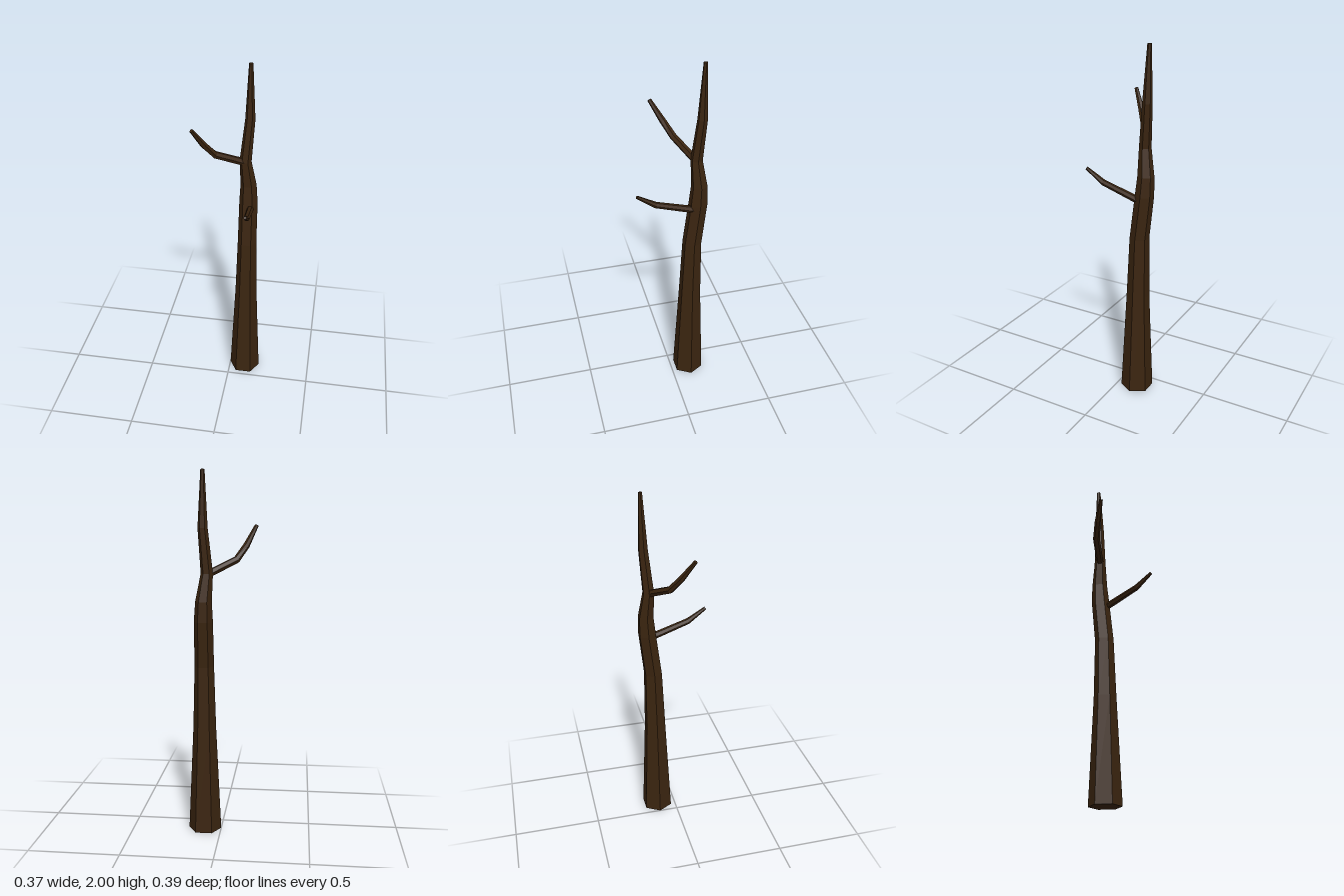
import * as THREE from 'three';

const SIDES = 6;

// Faceted limb through stations [x, y, z, radius]; level = rings stay horizontal
function limb(stations, level) {
  const centres = stations.map(([x, y, z]) => new THREE.Vector3(x, y, z));
  const last = centres.length - 1;
  const rings = centres.map((c, i) => {
    const dir = level
      ? new THREE.Vector3(0, 1, 0)
      : centres[Math.min(i + 1, last)].clone().sub(centres[Math.max(i - 1, 0)]).normalize();
    // Side axis is horizontal, so rings never twist along the limb
    const u = level
      ? new THREE.Vector3(1, 0, 0)
      : new THREE.Vector3(0, 1, 0).cross(dir).normalize();
    const v = dir.clone().cross(u);
    return Array.from({ length: SIDES }, (_, k) => {
      const a = (k / SIDES) * Math.PI * 2;
      return c.clone()
        .addScaledVector(u, Math.cos(a) * stations[i][3])
        .addScaledVector(v, Math.sin(a) * stations[i][3]);
    });
  });

  const points = [];
  for (let k = 0; k < SIDES; k++) {
    const n = (k + 1) % SIDES;
    for (let i = 0; i < last; i++) {
      const a = rings[i][k], b = rings[i][n], c = rings[i + 1][n], d = rings[i + 1][k];
      points.push(a, b, c, a, c, d);
    }
    // End caps
    points.push(centres[0], rings[0][n], rings[0][k]);
    points.push(centres[last], rings[last][k], rings[last][n]);
  }
  const geometry = new THREE.BufferGeometry().setFromPoints(points);
  geometry.computeVertexNormals();
  return geometry;
}

export function createModel() {
  const bark = new THREE.MeshStandardMaterial({ color: 0x3b2510, flatShading: true });
  bark.name = 'darkBark';
  const tree = new THREE.Group();
  tree.name = 'bareTree';

  const add = (name, stations, level = false) => {
    const mesh = new THREE.Mesh(limb(stations, level), bark);
    mesh.name = name;
    tree.add(mesh);
  };

  // Tapering trunk with a slight bend
  add('trunk', [
    [0.092, 0, -0.107, 0.092],
    [0.092, 0.6, -0.111, 0.064],
    [0.092, 0.95, -0.118, 0.054],
    [0.092, 1.2, -0.147, 0.052],
    [0.09, 1.31, -0.153, 0.045],
    [0.073, 1.46, -0.139, 0.033],
    [0.092, 1.7, -0.159, 0.027],
    [0.09, 2, -0.167, 0.011],
  ], true);

  // Upper branch, reaching sideways and forward
  add('upperBranch', [
    [0.075, 1.452, -0.138, 0.021],
    [-0.08, 1.53, -0.053, 0.02],
    [-0.13, 1.605, -0.007, 0.018],
    [-0.18, 1.71, 0.053, 0.011],
  ]);

  // Lower branch, reaching forward
  add('lowerBranch', [
    [0.107, 1.17, -0.13, 0.02],
    [0.116, 1.243, 0.095, 0.017],
    [0.121, 1.31, 0.196, 0.009],
  ]);

  return tree;
}
